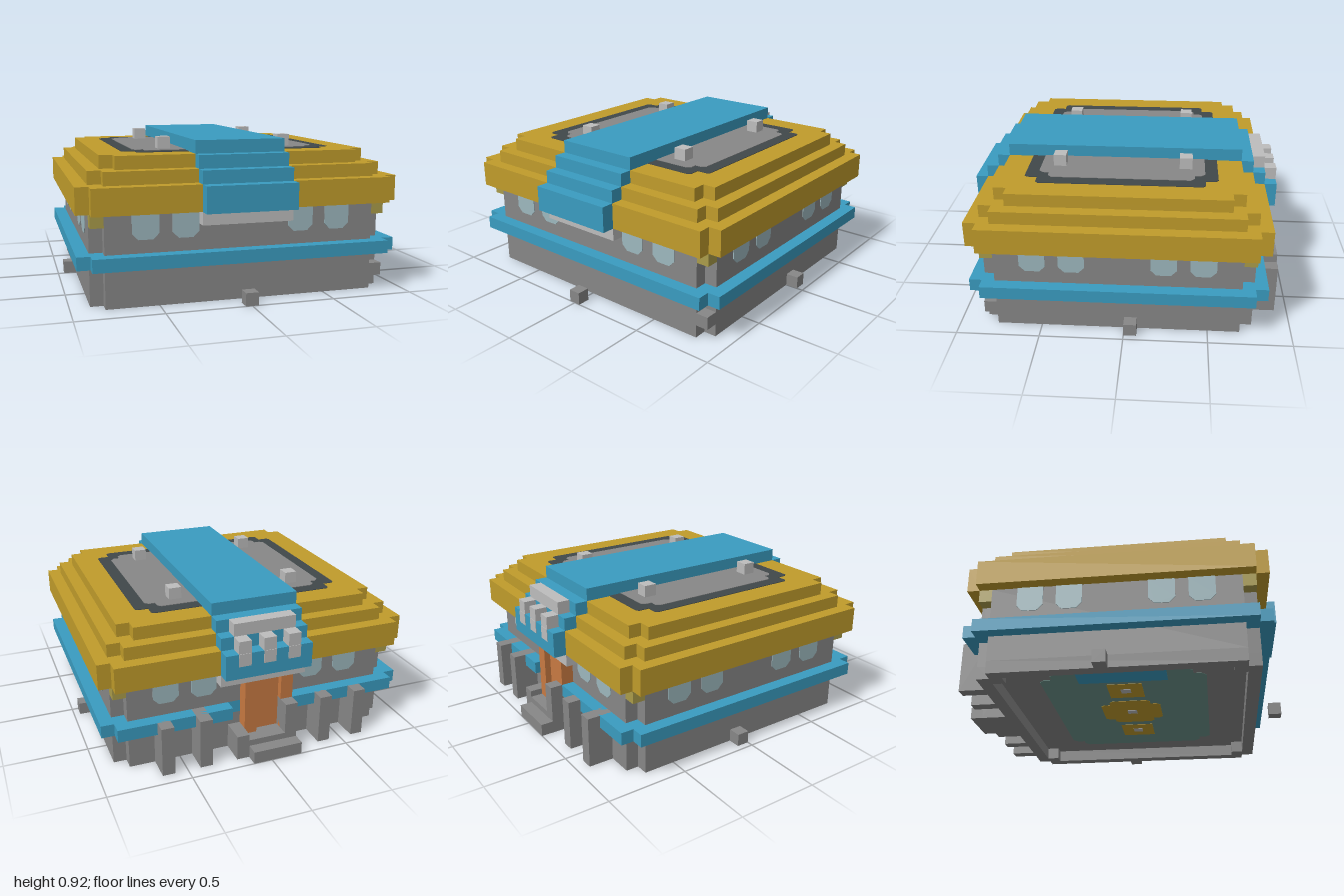
import * as THREE from 'three';

const U = 1 / 13; // one block; all sizes below are in blocks
const CZ = 0.5;   // the building's middle along z

const mat = (name, color, side = THREE.FrontSide) => {
  const m = new THREE.MeshStandardMaterial({ color, side });
  m.name = name;
  return m;
};

export function createModel() {
  const M = {
    grey: mat('wall grey', 0x878787),
    light: mat('light grey', 0xbdbdbd),
    gold: mat('roof gold', 0xc09c2b),
    blue: mat('blue', 0x3a9cc0),
    dark: mat('dark slate', 0x40484a),
    glass: mat('pale glass', 0x9db8be),
    orange: mat('door orange', 0xc87a42),
    olive: mat('olive', 0xaa9c4a),
    green: mat('floor green', 0x6b948a),
  };
  const model = new THREE.Group();
  model.name = 'building';
  const blocks = new THREE.Group();
  blocks.name = 'blocks';
  blocks.scale.setScalar(U);
  model.add(blocks);

  const add = (name, geometry, material) => {
    const mesh = new THREE.Mesh(geometry, material);
    mesh.name = name;
    blocks.add(mesh);
    return mesh;
  };
  const box = (name, material, x0, x1, y0, y1, z0, z1) => {
    const g = new THREE.BoxGeometry(x1 - x0, y1 - y0, z1 - z0);
    g.translate((x0 + x1) / 2, (y0 + y1) / 2, (z0 + z1) / 2);
    return add(name, g, material);
  };
  // Rectangle outline with square notched corners; bevel trims the outer tips
  const notched = (hx, hz, n = 1, b = 0) => {
    const p = [];
    const quarter = [[hx, hz - n - b], [hx - b, hz - n], [hx - n, hz - n], [hx - n, hz - b], [hx - n - b, hz]];
    for (const [sx, sz, flip] of [[1, 1, 0], [-1, 1, 1], [-1, -1, 0], [1, -1, 1]]) {
      const q = quarter.map(([x, z]) => new THREE.Vector2(x * sx, z * sz - CZ));
      p.push(...(flip ? q.reverse() : q));
    }
    return p.filter((v, i) => i === 0 || v.distanceTo(p[i - 1]) > 1e-6);
  };
  // Extrude a plan outline upwards from y0 to y1
  const slab = (name, material, points, y0, y1, hole) => {
    const shape = new THREE.Shape(points);
    if (hole) shape.holes.push(new THREE.Path(hole));
    const g = new THREE.ExtrudeGeometry(shape, { depth: y1 - y0, bevelEnabled: false });
    g.rotateX(-Math.PI / 2);
    g.translate(0, y0, 0);
    return add(name, g, material);
  };

  // Walls, open by one block underneath
  slab('wallFoot', M.grey, notched(11.5, 10.5), 0, 1, notched(10.5, 9.5));
  slab('walls', M.grey, notched(11.5, 10.5), 1, 7);
  box('cornerStone', M.grey, 10.5, 11.5, 1, 2, 10, 11);
  for (const sx of [-1, 1]) for (const z of [-9.5, 10.5]) {
    const x = sx * 11;
    box('cornerBracket', M.olive, x - 0.5, x + 0.5, 6, 7, z - 0.5, z + 0.5);
  }

  // Blue band round the walls, with a gap at the doorway
  const band = [
    [2.5, 10], [2.5, 11], [11.5, 11], [11.5, 10], [12.5, 10], [12.5, -11], [11.5, -11], [11.5, -12],
  ];
  const bandPoints = [...band, ...band.map(([x, y]) => [-x, y]).reverse()];
  slab('band', M.blue, bandPoints.map(([x, y]) => new THREE.Vector2(x, y)), 3, 4);

  // Stepped roof
  slab('roofEave', M.gold, notched(12.5, 11.5), 7, 9);
  slab('roofMiddle', M.gold, notched(11.5, 10.5), 9, 10);
  slab('roofTop', M.gold, notched(10.5, 9.5), 10, 11);
  slab('roofFrame', M.dark, notched(8.5, 7.5, 1, 0.2), 11, 11.04);
  slab('roofPanel', M.grey, notched(7.5, 6.5, 0.8, 0.3), 11.04, 11.08);
  for (const x of [-5, 5]) for (const z of [-4.5, 5.5])
    box('roofPost', M.light, x - 0.5, x + 0.5, 11, 12, z - 0.5, z + 0.5);

  // Blue stripe over the roof
  for (const [y0, y1, z0, z1] of [[7, 9, -12, 13], [9, 10, -11, 12], [10, 11, -10, 11], [11, 12, -9, 10]])
    box('roofStripe', M.blue, -3.5, 3.5, y0, y1, z0, z1);
  box('frontLintel', M.light, -3.5, 3.5, 6, 7, 11, 12);
  box('backLintel', M.light, -3.5, 3.5, 6, 7, -11, -10);

  // Light crest above the door, with three teeth
  box('crestBar', M.light, -2.5, 2.5, 10, 11, -11, -10);
  for (const x of [-2, 0, 2]) {
    box('crestTooth', M.light, x - 0.5, x + 0.5, 9, 10, -12, -11);
    box('crestToothTip', M.light, x - 0.5, x + 0.5, 8, 9, -12.04, -12);
  }

  // Windows with trimmed lower corners
  const c = 0.45;
  const pane = new THREE.Shape([[-1 + c, 0], [1 - c, 0], [1, c], [1, 2], [-1, 2], [-1, c]]
    .map(([x, y]) => new THREE.Vector2(x, y)));
  const paneGeometry = new THREE.ExtrudeGeometry(pane, { depth: 0.06, bevelEnabled: false });
  const windowAt = (x, z, turn) => {
    const w = add('window', paneGeometry, M.glass);
    w.position.set(x, 5, z);
    w.rotation.y = turn;
  };
  for (const x of [-7.5, -4.5, 4.5, 7.5]) {
    windowAt(x, 11, 0);
    windowAt(x, -10, Math.PI);
  }
  for (const z of [-6, -3, 4, 7]) {
    windowAt(11.5, z, Math.PI / 2);
    windowAt(-11.5, z, -Math.PI / 2);
  }

  // Back pilasters, door and steps
  for (const x of [-8, -5, -2, 5, 8]) box('pilaster', M.grey, x - 0.5, x + 0.5, 0, 4, -12, -10);
  box('shortPilaster', M.grey, 1.5, 2.5, 0, 2, -12, -10);
  box('doorPanel', M.orange, -1.5, 0.5, 1, 6, -10.5, -10);
  for (const x of [-2, 1]) box('doorJamb', M.orange, x - 0.5, x + 0.5, 1, 6, -11, -10);
  box('lowerStep', M.grey, -2.5, 1.5, 0, 1, -13, -12);
  box('upperStep', M.grey, -1.5, 1.5, 0, 1.5, -12, -10);

  // Small blocks standing by the front and sides
  box('frontBlock', M.grey, -0.5, 0.5, 0, 1, 12, 13);
  for (const x of [-12, 12]) box('sideBlock', M.grey, x - 0.5, x + 0.5, 0, 1, -1, 0);

  // Pattern under the floor, in thin layers
  slab('floorField', M.green, notched(8.5, 6.5, 1, 0.4), 0.97, 1);
  box('floorMat', M.blue, -10.5, -6.5, 0.95, 1, -3, 4);
  slab('floorCentre', M.gold, notched(2.5, 2.5, 0.8, 0.3), 0.93, 0.96);
  for (const x of [-4.7, 4.7]) box('floorSquare', M.gold, x - 1.4, x + 1.4, 0.93, 0.96, CZ - 1.4, CZ + 1.4);
  for (const x of [-4.7, 0, 4.7]) box('floorDot', M.light, x - 0.4, x + 0.4, 0.9, 0.93, CZ - 0.4, CZ + 0.4);

  return model;
}
